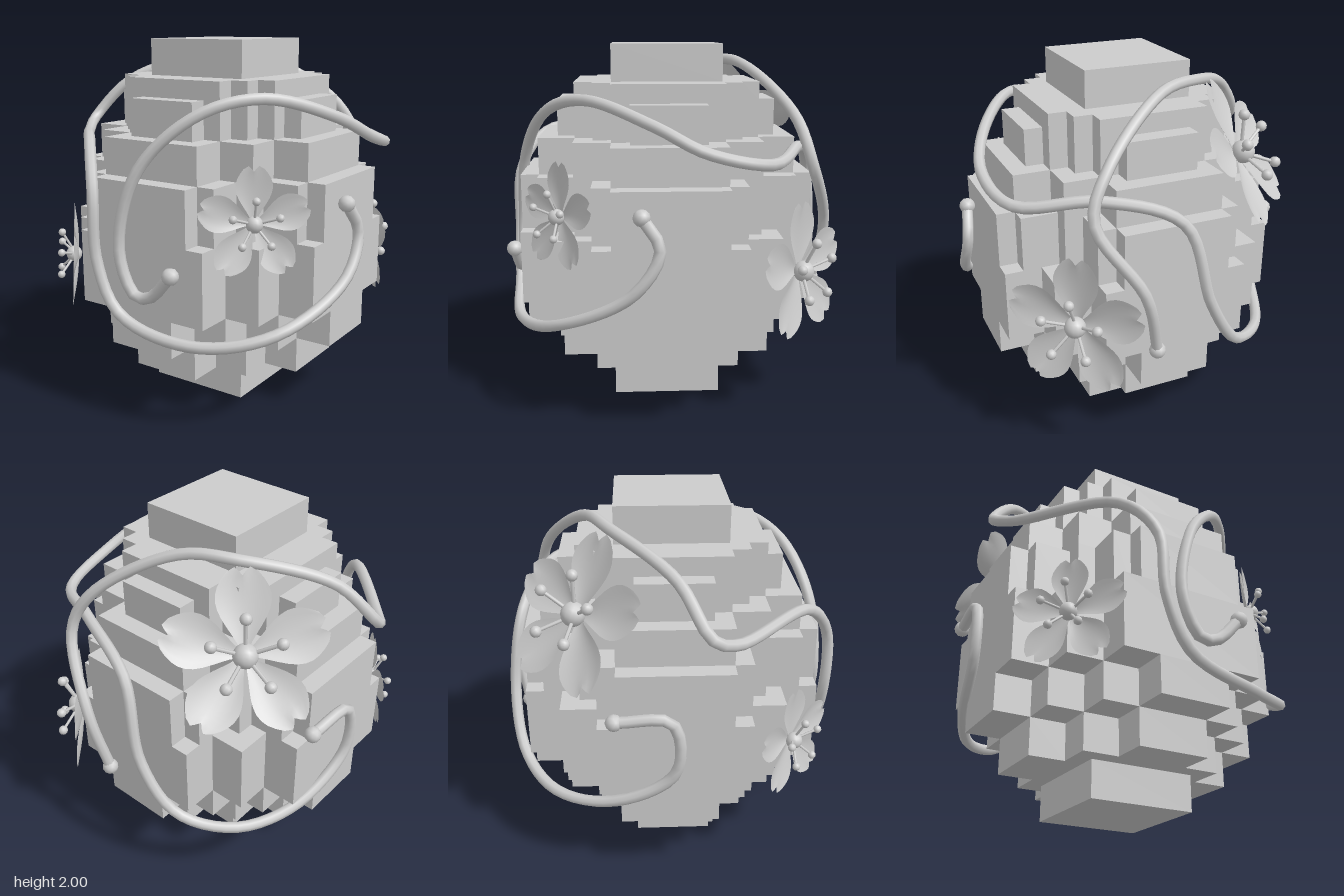
import * as THREE from 'three';

const grey = new THREE.MeshStandardMaterial({ color: 0xcccccc, side: THREE.DoubleSide });
grey.name = 'grey';

function add(parent, geometry, name) {
  const mesh = new THREE.Mesh(geometry, grey);
  mesh.name = name;
  parent.add(mesh);
  return mesh;
}

// Egg layer: the stepped corners of one quarter, turned four times and extruded
function addLayer(egg, bottom, top, ...corners) {
  const quarter = [];
  corners.forEach(([x, y], i) => {
    if (i > 0) quarter.push([x, corners[i - 1][1]]);
    quarter.push([x, y]);
  });
  const outline = [];
  for (let q = 0; q < 4; q++) {
    for (const [x, y] of quarter) {
      outline.push(new THREE.Vector2(x, y).rotateAround(new THREE.Vector2(), (q * Math.PI) / 2));
    }
  }
  const geo = new THREE.ExtrudeGeometry(new THREE.Shape(outline), { depth: top - bottom, bevelEnabled: false });
  add(egg, geo.rotateX(-Math.PI / 2).translate(0, bottom, 0), 'eggLayer');
}

function makeEgg() {
  const egg = new THREE.Group();
  egg.name = 'egg';
  egg.position.set(-0.008, 0, 0.022);
  addLayer(egg, 0, 0.2, [0.3, 0.3]);
  addLayer(egg, 0.2, 0.4, [0.6, 0.2], [0.4, 0.4], [0.2, 0.6]);
  addLayer(egg, 0.4, 0.6, [0.8, 0.2], [0.6, 0.4], [0.4, 0.6], [0.2, 0.8]);
  addLayer(egg, 0.6, 1.0, [0.8, 0.4], [0.6, 0.6], [0.4, 0.8]);
  addLayer(egg, 1.0, 1.3, [0.8, 0.3], [0.7, 0.4], [0.5, 0.5], [0.4, 0.7], [0.3, 0.8]);
  addLayer(egg, 1.3, 1.5, [0.7, 0.3], [0.5, 0.5], [0.3, 0.7]);
  addLayer(egg, 1.5, 1.7, [0.6, 0.2], [0.5, 0.3], [0.4, 0.4], [0.3, 0.5], [0.2, 0.6]);
  addLayer(egg, 1.7, 1.8, [0.5, 0.3], [0.4, 0.4], [0.3, 0.5]);
  addLayer(egg, 1.8, 2.0, [0.3, 0.3]);
  return egg;
}

// Vine through a few points, with a bead on each end
function makeVine(...points) {
  const group = new THREE.Group();
  group.name = 'vine';
  const path = new THREE.CatmullRomCurve3(points.map((p) => new THREE.Vector3(...p)));
  add(group, new THREE.TubeGeometry(path, 100, 0.031, 8), 'vineStem');
  for (const end of [path.getPoint(0), path.getPoint(1)]) {
    add(group, new THREE.IcosahedronGeometry(0.045, 1).translate(end.x, end.y, end.z), 'vineBead');
  }
  return group;
}

// Petal: narrow at the base, wide near the end, notched at the tip and cupped
function petalGeometry() {
  const geo = new THREE.PlaneGeometry(2, 1, 8, 10);
  const pos = geo.attributes.position;
  for (let i = 0; i < pos.count; i++) {
    const s = pos.getX(i);
    const t = pos.getY(i) + 0.5;
    const width = 0.05 + 0.27 * Math.pow(Math.sin(Math.PI * Math.pow(t, 1.1) * 0.82), 1.2);
    const notch = 1 - 0.1 * t * t * t * (1 - Math.min(1, Math.abs(s) * 2.2));
    const corner = 1 - 0.1 * t * t * Math.max(0, Math.abs(s) - 0.45);
    const cup = 0.1 * t * t + 0.06 * s * s * Math.sin(Math.PI * t);
    pos.setXYZ(i, s * width, (0.06 + 0.94 * t) * notch * corner, cup);
  }
  geo.computeVertexNormals();
  return geo;
}

// Flower built with unit radius facing +z, then scaled and turned outward
function makeFlower(center, normal, radius) {
  const flower = new THREE.Group();
  flower.name = 'flower';
  const petal = petalGeometry();
  add(flower, new THREE.SphereGeometry(0.15, 14, 10).translate(0, 0, 0.09), 'flowerCenter');
  const stalk = new THREE.LineCurve3(new THREE.Vector3(0, 0.05, 0.09), new THREE.Vector3(0, 0.42, 0.32));
  for (let i = 0; i < 5; i++) {
    const angle = (i * Math.PI * 2) / 5;
    add(flower, petal, 'petal').rotation.z = angle;
    const stamen = new THREE.Group();
    stamen.name = 'stamen';
    stamen.rotation.z = angle;
    add(stamen, new THREE.TubeGeometry(stalk, 1, 0.024, 6), 'stamenStalk');
    add(stamen, new THREE.SphereGeometry(0.072, 10, 8).translate(0, 0.42, 0.32), 'stamenTip');
    flower.add(stamen);
  }
  flower.scale.setScalar(radius);
  flower.position.set(...center);
  flower.lookAt(new THREE.Vector3(...normal).add(flower.position));
  return flower;
}

export function createModel() {
  const model = new THREE.Group();
  model.name = 'floweredEgg';
  model.add(makeEgg());

  // Vine curling on the front and sweeping round the back
  model.add(makeVine(
    [0.24, 0.87, 0.88], [0.1, 0.73, 0.87], [0, 0.72, 0.87], [-0.1, 0.95, 0.87], [0, 1.36, 0.83],
    [0.26, 1.64, 0.68], [0.5, 1.72, 0.45], [0.74, 1.61, 0.1], [0.82, 1.49, -0.15], [0.75, 1.42, -0.48],
    [0.38, 1.46, -0.68], [-0.02, 1.32, -0.81], [-0.16, 0.87, -0.87], [-0.36, 0.57, -0.81],
    [-0.62, 0.49, -0.62], [-0.79, 0.54, -0.3], [-0.86, 0.76, 0.02], [-0.86, 1.06, 0], [-0.84, 1.06, -0.29],
  ));
  // Vine sweeping round the front and over the shoulder to the back
  model.add(makeVine(
    [0.84, 1.18, 0.17], [0.87, 1.02, 0.08], [0.87, 0.79, 0.22], [0.7, 0.58, 0.62], [0.35, 0.51, 0.84],
    [-0.08, 0.61, 0.9], [-0.22, 0.88, 0.91], [-0.25, 1.25, 0.89], [-0.4, 1.46, 0.74], [-0.8, 1.46, 0.32],
    [-0.87, 1.52, 0.19], [-0.7, 1.75, 0.03], [-0.34, 1.89, -0.29], [-0.06, 1.88, -0.43],
    [0.33, 1.62, -0.67], [0.44, 1.38, -0.75], [0.22, 1.0, -0.88], [0.13, 0.64, -0.84],
  ));

  // Flowers on the four corners
  model.add(makeFlower([0.54, 1.12, 0.59], [0.66, 0.1, 0.74], 0.29));
  model.add(makeFlower([-0.61, 0.79, 0.65], [-0.7, 0.06, 0.7], 0.3));
  model.add(makeFlower([0.51, 0.8, -0.68], [0.68, 0.08, -0.73], 0.38));
  model.add(makeFlower([-0.52, 1.5, -0.46], [-0.55, 0.46, -0.55], 0.43));
  return model;
}
